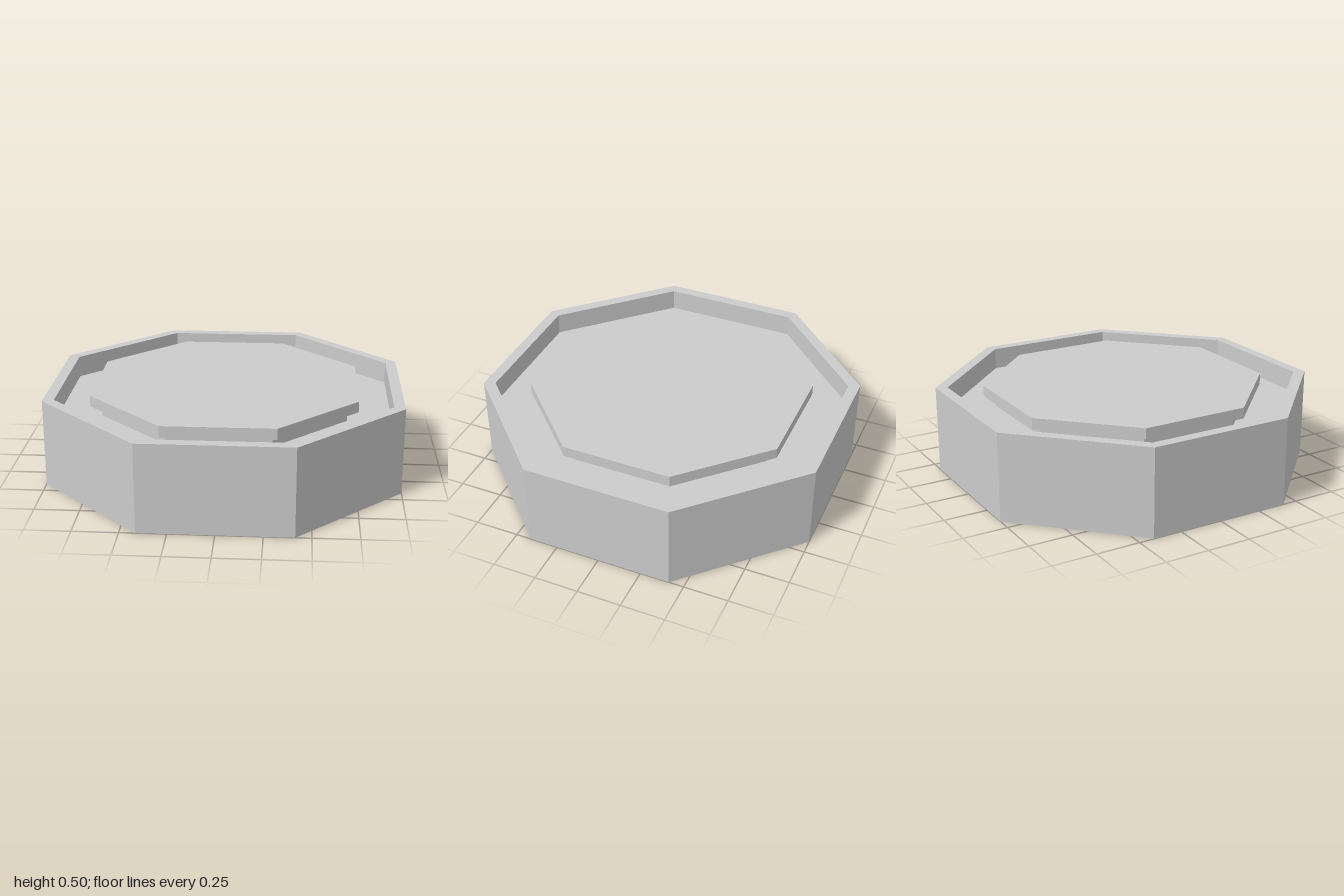
import * as THREE from 'three';

const SIDES = 8;
const TURN = Math.PI / SIDES; // puts flat sides on the x and z axes
const material = new THREE.MeshStandardMaterial({ color: 0xcccccc, flatShading: true });

// Corner radius of an octagon from its centre-to-side distance
const corner = (apothem) => apothem / Math.cos(TURN);

function addPart(group, name, geometry) {
  const mesh = new THREE.Mesh(geometry, material);
  mesh.name = name;
  group.add(mesh);
}

// Solid octagonal slab between two heights
function slab(apothem, y0, y1) {
  const r = corner(apothem);
  return new THREE.CylinderGeometry(r, r, y1 - y0, SIDES, 1, false, TURN)
    .translate(0, (y0 + y1) / 2, 0);
}

export function createModel() {
  const group = new THREE.Group();
  group.name = 'octagonalDrum';

  // Outer wall: a closed rectangular section swept round eight sides
  const section = [[0.9375, 0], [1, 0], [1, 0.5], [0.9375, 0.5], [0.9375, 0]]
    .map(([a, y]) => new THREE.Vector2(corner(a), y));
  addPart(group, 'outerWall', new THREE.LatheGeometry(section, SIDES, TURN));

  // Thick web recessed equally from the top and bottom rims
  addPart(group, 'centreWeb', slab(0.9375, 0.125, 0.375));

  // A narrow neck and a wider cap on each face
  addPart(group, 'topNeck', slab(0.6875, 0.375, 0.4375));
  addPart(group, 'topCap', slab(0.75, 0.4375, 0.5));
  addPart(group, 'bottomNeck', slab(0.6875, 0.0625, 0.125));
  addPart(group, 'bottomCap', slab(0.75, 0, 0.0625));

  return group;
}
